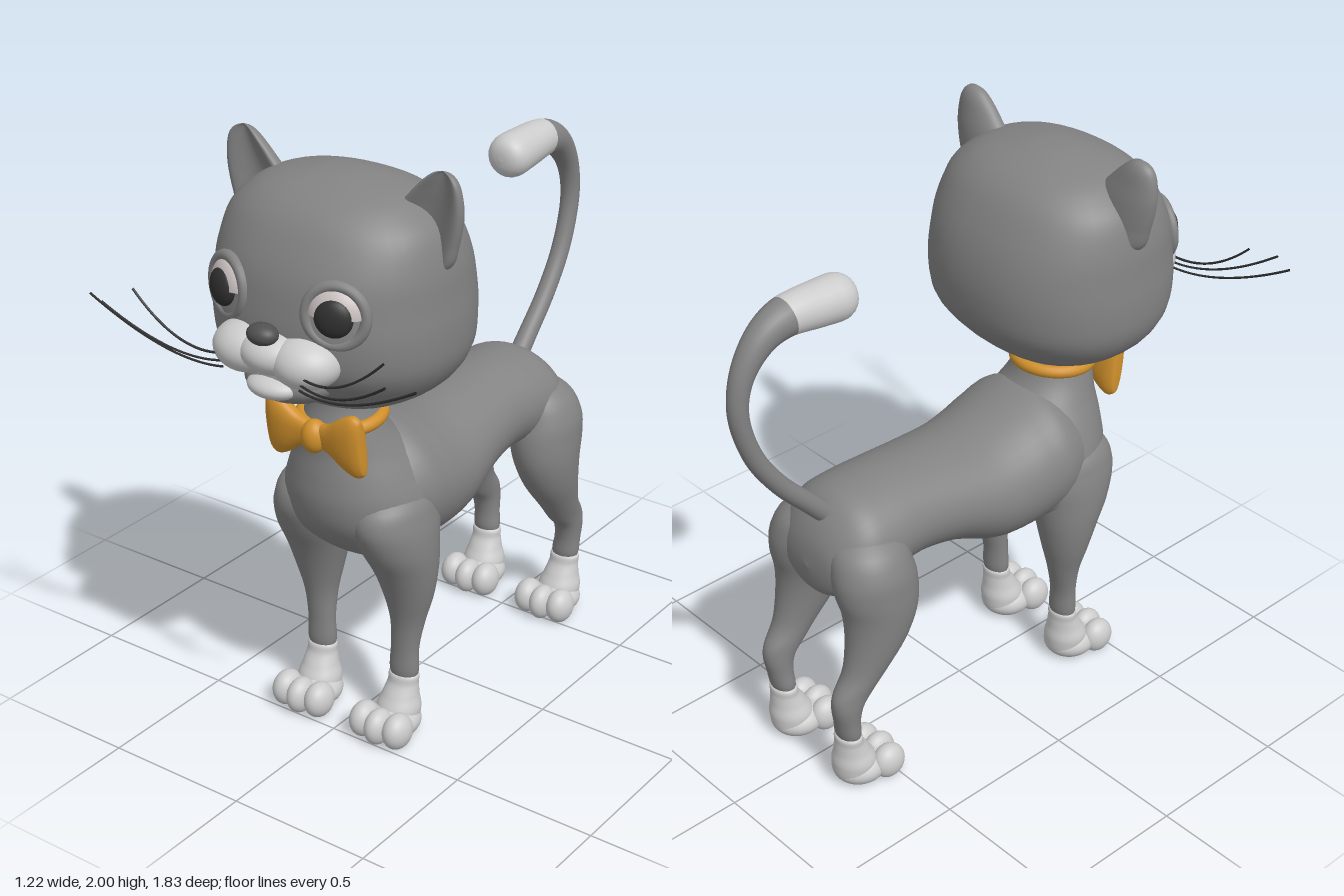
import * as THREE from 'three';

const paint = (color) => new THREE.MeshStandardMaterial({ color, side: THREE.DoubleSide });
const fur = paint(0x838383), pale = paint(0xcccccc), dark = paint(0x303030);
const noseGrey = paint(0x505050), eyeWhite = paint(0xc8bebe), orange = paint(0xd0902c);

// Closed skin over rings of points: point(t, angle) -> [x, y, z]
function skin(point, rings = 48, sides = 40) {
  const pos = [], idx = [];
  for (let i = 0; i <= rings; i++) {
    for (let j = 0; j < sides; j++) pos.push(...point(i / rings, (j / sides) * Math.PI * 2));
  }
  for (let i = 0; i < rings; i++) {
    for (let j = 0; j < sides; j++) {
      const a = i * sides + j, b = i * sides + ((j + 1) % sides), c = a + sides, d = b + sides;
      idx.push(a, b, d, a, d, c);
    }
  }
  // Turn the faces outward, whichever way the rings run
  const P = (k) => new THREE.Vector3().fromArray(pos, k * 3);
  let volume = 0;
  for (let k = 0; k < idx.length; k += 3) volume += P(idx[k]).dot(P(idx[k + 1]).cross(P(idx[k + 2])));
  if (volume < 0) idx.reverse();
  const g = new THREE.BufferGeometry();
  g.setAttribute('position', new THREE.Float32BufferAttribute(pos, 3));
  g.setIndex(idx);
  g.computeVertexNormals();
  return g;
}

// Smooth interpolation through rows of numbers
function blend(rows, t) {
  const f = t * (rows.length - 1), i = Math.min(Math.floor(f), rows.length - 2), u = f - i;
  const r = (k) => rows[Math.max(0, Math.min(rows.length - 1, k))];
  return rows[0].map((_, k) => {
    const a = r(i - 1)[k], b = r(i)[k], c = r(i + 1)[k], d = r(i + 2)[k];
    return b + 0.5 * u * (c - a + u * (2 * a - 5 * b + 4 * c - d + u * (3 * (b - c) + d - a)));
  });
}

// Oval cross-section point; power above 2 makes it boxier
function oval(a, power) {
  const f = (v) => Math.sign(v) * Math.abs(v) ** (2 / power);
  return [f(Math.cos(a)), f(Math.sin(a))];
}

// Upright form from rows [y, centre x, centre z, half width, half depth]
function upright(rows, s = 1, power = 2, hollow = 0) {
  return skin((t, a) => {
    const [y, x, z, w, d] = blend(rows, t);
    let [u, v] = oval(a, power);
    if (v > 0) v *= 1 - hollow * v * v;
    return [s * (x + Math.max(w, 0) * u), y, z + Math.max(d, 0) * v];
  });
}

// Ellipsoid, optionally flattened where it meets the floor
function blob(x, y, z, rx, ry, rz) {
  const g = new THREE.SphereGeometry(1, 32, 24).scale(rx, ry, rz).translate(x, y, z);
  const p = g.attributes.position;
  for (let i = 0; i < p.count; i++) if (p.getY(i) < 0) p.setY(i, 0);
  return g;
}

export function createModel() {
  const model = new THREE.Group();
  const add = (name, geometry, material, parent = model) => {
    const m = new THREE.Mesh(geometry, material);
    m.name = name;
    parent.add(m);
    return m;
  };

  // Torso: rows [z, top y, bottom y, half width]
  const torso = [
    [0.46, 0.88, 0.82, 0], [0.4, 1.02, 0.66, 0.2], [0.3, 1.085, 0.62, 0.262], [0.2, 1.065, 0.605, 0.265],
    [0.1, 1.035, 0.602, 0.256], [0, 1.02, 0.62, 0.244], [-0.15, 1.027, 0.685, 0.218], [-0.3, 1.038, 0.71, 0.205],
    [-0.43, 1.038, 0.7, 0.212], [-0.53, 1.025, 0.69, 0.21], [-0.6, 0.97, 0.68, 0.18], [-0.645, 0.89, 0.71, 0.12],
    [-0.66, 0.8, 0.8, 0]];
  add('torso', skin((t, a) => {
    const [z, top, low, w] = blend(torso, t);
    return [Math.max(w, 0) * Math.cos(a), (top + low) / 2 + ((top - low) / 2) * Math.sin(a), z];
  }, 72), fur);

  // Chest rising into the neck
  add('chestAndNeck', upright([
    [1.3, 0, 0.42, 0, 0], [1.26, 0, 0.42, 0.1, 0.1], [1.18, 0, 0.42, 0.115, 0.115], [1.1, 0, 0.415, 0.14, 0.14],
    [1.03, 0, 0.385, 0.172, 0.172], [0.95, 0, 0.35, 0.217, 0.217], [0.87, 0, 0.33, 0.25, 0.24],
    [0.78, 0, 0.32, 0.265, 0.228], [0.7, 0, 0.31, 0.25, 0.18], [0.63, 0, 0.29, 0.16, 0.11], [0.605, 0, 0.28, 0, 0]]), fur);

  // Head
  add('head', upright([
    [1.935, 0, 0.4, 0, 0], [1.93, 0, 0.4, 0.09, 0.07], [1.9, 0, 0.4, 0.23, 0.165], [1.86, 0, 0.4, 0.305, 0.23],
    [1.8, 0, 0.4, 0.362, 0.28], [1.7, 0, 0.4, 0.392, 0.33], [1.6, 0, 0.398, 0.402, 0.354], [1.5, 0, 0.4, 0.409, 0.36],
    [1.4, 0, 0.4, 0.4, 0.342], [1.32, 0, 0.4, 0.355, 0.285], [1.26, 0, 0.4, 0.275, 0.22], [1.21, 0, 0.4, 0.16, 0.13],
    [1.19, 0, 0.4, 0, 0]], 1, 2.25), fur);
  add('jaw', blob(0, 1.355, 0.655, 0.16, 0.078, 0.135), fur);

  const foreLeg = [
    [0.95, 0.1, 0.35, 0, 0], [0.88, 0.13, 0.355, 0.11, 0.14], [0.8, 0.15, 0.36, 0.127, 0.172],
    [0.7, 0.167, 0.355, 0.122, 0.145], [0.6, 0.177, 0.335, 0.107, 0.108], [0.5, 0.181, 0.325, 0.085, 0.078],
    [0.4, 0.178, 0.325, 0.06, 0.053], [0.3, 0.172, 0.333, 0.05, 0.039], [0.2, 0.17, 0.335, 0.049, 0.037],
    [0.17, 0.17, 0.335, 0, 0]];
  const hindLeg = [
    [0.97, 0.1, -0.5, 0, 0], [0.9, 0.125, -0.51, 0.1, 0.11], [0.82, 0.15, -0.515, 0.122, 0.14],
    [0.74, 0.163, -0.508, 0.118, 0.147], [0.65, 0.172, -0.502, 0.108, 0.132], [0.55, 0.178, -0.525, 0.09, 0.11],
    [0.45, 0.18, -0.575, 0.066, 0.082], [0.38, 0.178, -0.625, 0.053, 0.078], [0.33, 0.178, -0.652, 0.049, 0.058],
    [0.27, 0.175, -0.655, 0.047, 0.044], [0.2, 0.17, -0.648, 0.047, 0.036], [0.17, 0.17, -0.648, 0, 0]];

  for (const s of [1, -1]) {
    const side = s > 0 ? 'left' : 'right';

    // Legs, each ending in a pale sock and a three-toed paw
    for (const [kind, rows, dz] of [['Fore', foreLeg, 0], ['Hind', hindLeg, -0.984]]) {
      add(`${side}${kind}Leg`, upright(rows, s), fur);
      const paw = new THREE.Group();
      paw.name = `${side}${kind}Paw`;
      paw.position.z = dz;
      model.add(paw);
      add('sock', upright([
        [0.205, 0.17, 0.335, 0, 0], [0.203, 0.17, 0.335, 0.05, 0.038], [0.17, 0.169, 0.339, 0.054, 0.046],
        [0.13, 0.167, 0.35, 0.062, 0.06], [0.08, 0.165, 0.36, 0.075, 0.075], [0.02, 0.163, 0.36, 0.06, 0.06],
        [0.01, 0.163, 0.36, 0, 0]], s), pale, paw);
      add('foot', blob(s * 0.163, 0.045, 0.385, 0.09, 0.06, 0.095), pale, paw);
      for (const [tx, tz, r] of [[-0.067, 0.455, 0.046], [0, 0.468, 0.042], [0.067, 0.455, 0.046]]) {
        add('toe', blob(s * (0.162 + tx), 0.055, tz, r, 0.062, 0.06), pale, paw);
      }
    }

    // Ear, scooped out at the front
    add(`${side}Ear`, upright([
      [1.66, 0.28, 0.405, 0, 0], [1.7, 0.285, 0.405, 0.105, 0.06], [1.78, 0.3, 0.405, 0.122, 0.06],
      [1.86, 0.325, 0.407, 0.113, 0.055], [1.92, 0.349, 0.41, 0.088, 0.046], [1.965, 0.365, 0.412, 0.06, 0.037],
      [1.99, 0.37, 0.412, 0.032, 0.022], [2, 0.37, 0.412, 0, 0]], s, 2, 1.15), fur);

    // Eye with lid rim and pupil
    const eye = new THREE.Group();
    eye.name = `${side}Eye`;
    eye.position.set(s * 0.2, 1.607, 0.7);
    eye.rotation.set(-0.06, s * 0.36, 0);
    model.add(eye);
    add('eyeball', blob(0, 0, 0, 0.088, 0.086, 0.046).scale(1, 1, 1), eyeWhite, eye);
    add('pupil', new THREE.SphereGeometry(1, 32, 16).scale(0.06, 0.06, 0.03), dark, eye).position.z = 0.026;
    add('eyelid', new THREE.TorusGeometry(0.092, 0.018, 12, 40), fur, eye).position.z = 0.004;

    // Muzzle cheek and whiskers
    add(`${side}Cheek`, blob(s * 0.11, 1.449, 0.728, 0.112, 0.082, 0.105), pale);
    const whiskers = [
      [1.45, [0.3, 1.42, 0.835], [0.47, 1.575, 0.835]],
      [1.425, [0.31, 1.4, 0.85], [0.53, 1.545, 0.91]],
      [1.405, [0.33, 1.385, 0.84], [0.61, 1.54, 0.875]]];
    for (const [y, bend, tip] of whiskers) {
      const path = new THREE.QuadraticBezierCurve3(new THREE.Vector3(s * 0.145, y - 0.01, 0.81),
        new THREE.Vector3(s * bend[0], bend[1] - 0.015, bend[2]), new THREE.Vector3(s * tip[0], tip[1], tip[2]));
      add(`${side}Whisker`, new THREE.TubeGeometry(path, 24, 0.004, 6), dark);
    }

    // Bow wing: rows [x, half height, half depth]
    const wing = [[0.01, 0, 0], [0.015, 0.035, 0.02], [0.06, 0.056, 0.03], [0.11, 0.091, 0.038], [0.15, 0.109, 0.036],
      [0.174, 0.1, 0.026], [0.182, 0.08, 0.014], [0.183, 0, 0]];
    add(`${side}BowWing`, skin((t, a) => {
      const [x, h, d] = blend(wing, t), [u, v] = oval(a, 2.4);
      return [s * x, 1.11 + h * u, 0.557 + d * v + 0.12 * h * u];
    }), orange);
  }

  // Muzzle centre, chin and nose
  add('muzzle', blob(0, 1.462, 0.74, 0.11, 0.07, 0.102), pale);
  add('chin', blob(0, 1.352, 0.745, 0.092, 0.04, 0.072), pale);
  add('nose', blob(0, 1.532, 0.795, 0.052, 0.034, 0.042), noseGrey);

  // Collar and bow knot
  const collar = add('collar', new THREE.TorusGeometry(0.127, 0.022, 14, 48).rotateX(Math.PI / 2), orange);
  collar.position.set(0, 1.138, 0.425);
  collar.rotation.x = 0.08;
  add('bowKnot', blob(0, 1.108, 0.565, 0.043, 0.056, 0.043), orange);

  // Tail: rows [y, z, radius], swept along its own bend with a rounded tip
  const tail = [[0.93, -0.54, 0.036], [1.03, -0.635, 0.033], [1.15, -0.745, 0.032], [1.29, -0.835, 0.032],
    [1.45, -0.882, 0.033], [1.58, -0.865, 0.038], [1.68, -0.795, 0.05], [1.725, -0.7, 0.063],
    [1.722, -0.57, 0.073], [1.712, -0.44, 0.079]];
  const sweep = (t0, t1) => skin((k, a) => {
    const t = t0 + (t1 - t0) * k, [y, z, r] = blend(tail, t);
    const [ya, za] = blend(tail, Math.max(t - 0.005, 0)), [yb, zb] = blend(tail, Math.min(t + 0.005, 1));
    const len = Math.hypot(yb - ya, zb - za), round = Math.sqrt(Math.max(0, 1 - Math.max(0, (t - 0.93) / 0.07) ** 2));
    const c = r * round * Math.cos(a), q = r * round * Math.sin(a);
    return [c, y - (q * (zb - za)) / len, z + (q * (yb - ya)) / len];
  }, 90, 24);
  add('tail', sweep(0, 0.785), fur);
  add('tailTip', sweep(0.785, 1), pale);

  return model;
}
